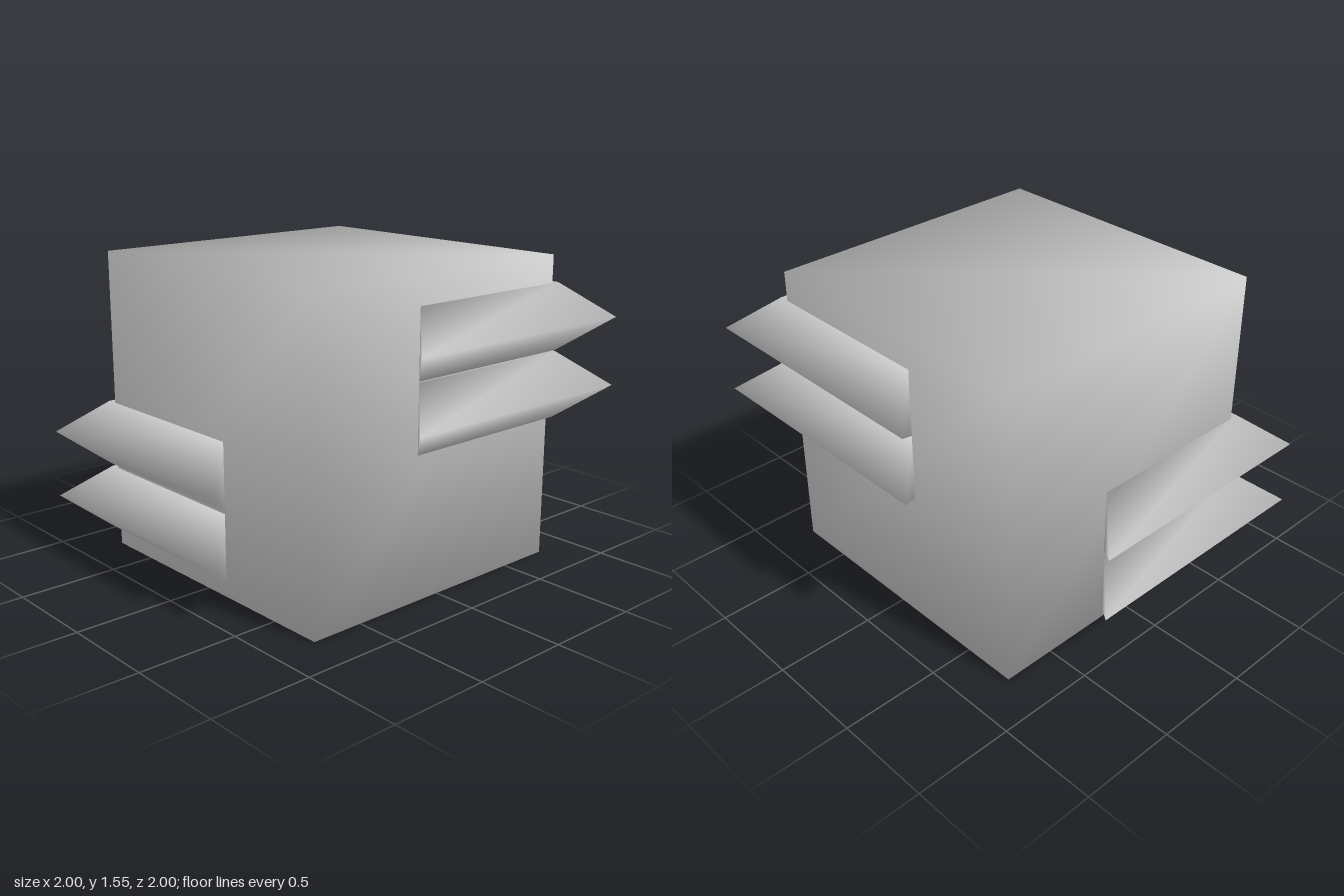
import * as THREE from 'three';
import { mergeVertices } from 'three/addons/utils/BufferGeometryUtils.js';

const material = new THREE.MeshStandardMaterial({ color: 0xcccccc });

// Cube whose corners share one smooth normal each
function smoothCube(size) {
  const box = new THREE.BoxGeometry(size, size, size);
  box.deleteAttribute('normal');
  box.deleteAttribute('uv');
  const geometry = mergeVertices(box);
  geometry.computeVertexNormals();
  return geometry;
}

// Triangular bar bent round a corner, with ends cut at 45 degrees
function cornerBar() {
  const half = 0.17, inner = 0.795, outer = 1;
  // each station: inner x, inner z, outer x, outer z
  const stations = [
    [0.17, inner, 0.37, outer],
    [-inner, inner, -outer, outer],
    [-inner, -0.17, -outer, -0.37],
  ];
  const positions = [];
  for (const [ix, iz, ox, oz] of stations) {
    positions.push(ix, -half, iz, ox, 0, oz, ix, half, iz);
  }
  const index = [0, 2, 1, 6, 7, 8]; // end caps
  for (let s = 0; s < 2; s++) {
    for (let j = 0; j < 3; j++) {
      const k = (j + 1) % 3;
      const a = 3 * s + j, b = 3 * s + k, c = b + 3, d = a + 3;
      index.push(a, b, d, b, c, d);
    }
  }
  const geometry = new THREE.BufferGeometry();
  geometry.setAttribute('position', new THREE.Float32BufferAttribute(positions, 3));
  geometry.setIndex(index);
  geometry.computeVertexNormals();
  return geometry;
}

export function createModel() {
  const model = new THREE.Group();
  model.name = 'cubeWithCornerBars';

  // Main block
  const body = new THREE.Mesh(smoothCube(1.55), material);
  body.name = 'body';
  body.position.y = 0.775;
  model.add(body);

  // Low pair on the front corner, high pair on the opposite corner
  const barGeometry = cornerBar();
  const pairs = [
    { name: 'frontCornerBar', turn: 0, heights: [0.26, 0.61] },
    { name: 'backCornerBar', turn: Math.PI, heights: [0.9, 1.245] },
  ];
  for (const { name, turn, heights } of pairs) {
    heights.forEach((y, i) => {
      const bar = new THREE.Mesh(barGeometry, material);
      bar.name = name + (i ? 'Upper' : 'Lower');
      bar.position.y = y;
      bar.rotation.y = turn;
      model.add(bar);
    });
  }
  return model;
}
